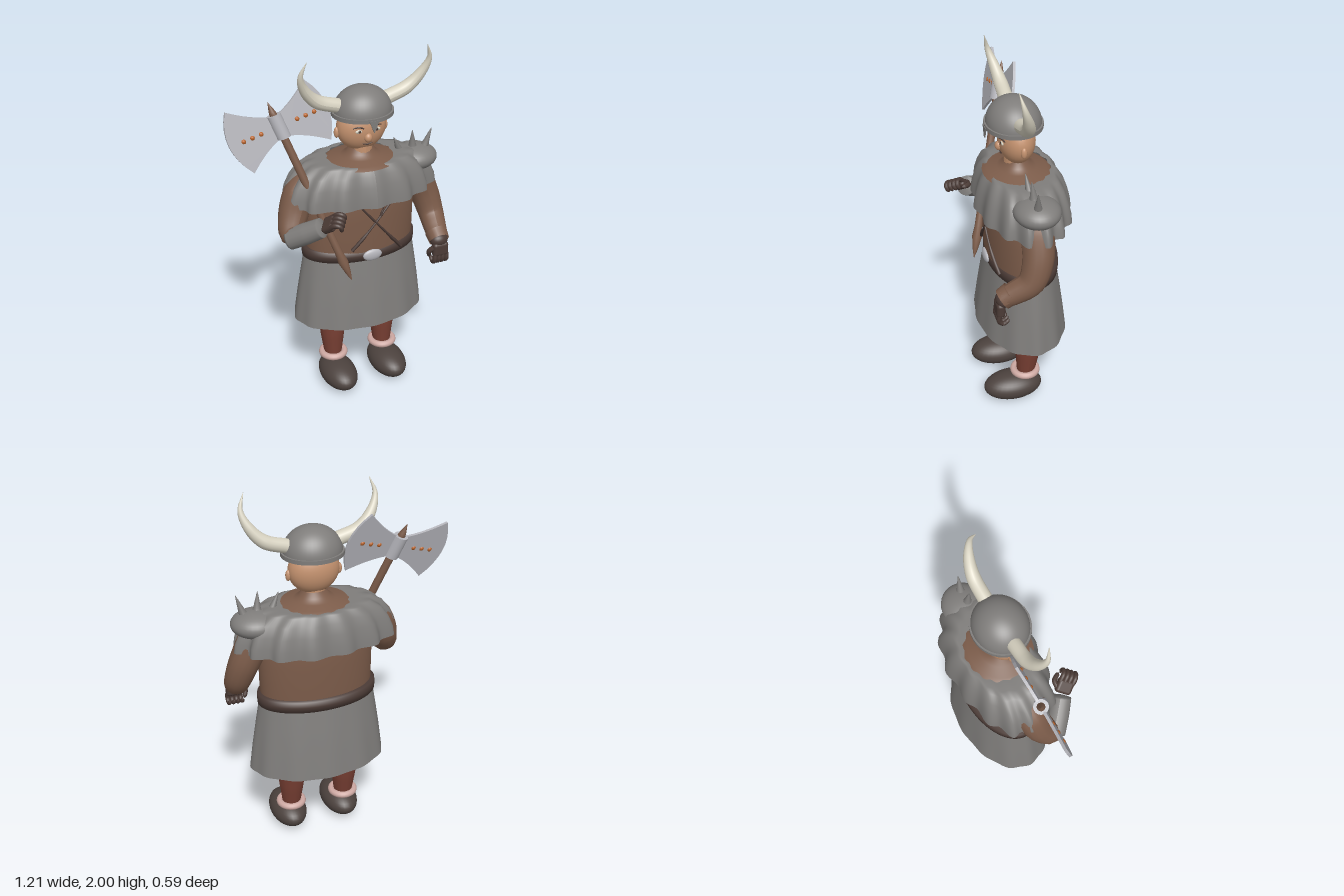
import * as THREE from 'three';
import { RoundedBoxGeometry } from 'three/addons/geometries/RoundedBoxGeometry.js';

const mat = (name, color, side = THREE.FrontSide) => {
  const m = new THREE.MeshStandardMaterial({ color, side });
  m.name = name;
  return m;
};
const V = (x, y, z) => new THREE.Vector3(x, y, z);
const CX = 0.117; // body centre line

export function createModel() {
  const root = new THREE.Group();
  root.name = 'hornedWarrior';
  const cloth = mat('brownCloth', 0x7c5c4a, THREE.DoubleSide);
  const grey = mat('greyCloth', 0x7f7d7b, THREE.DoubleSide);
  const skin = mat('skin', 0xc4926f);
  const dark = mat('darkLeather', 0x4b3b36);
  const shoeMat = mat('shoeLeather', 0x4c423e);
  const bone = mat('bone', 0xd6d1c0);
  const steel = mat('steel', 0xb4b4ba);
  const red = mat('redWool', 0x783f33);
  const pink = mat('pinkFur', 0xcda8a2);
  const copper = mat('copper', 0xb8632a);

  const add = (name, geo, material, parent = root) => {
    const m = new THREE.Mesh(geo, material);
    m.name = name;
    parent.add(m);
    return m;
  };
  const ball = (name, material, x, y, z, rx, ry = rx, rz = rx, parent = root) => {
    const m = add(name, new THREE.SphereGeometry(1, 32, 20), material, parent);
    m.position.set(x, y, z);
    m.scale.set(rx, ry, rz);
    return m;
  };
  // Tube along points [x, y, z, radius]
  const taper = (name, pts, material, parent = root, segs = 24, sides = 16) => {
    const curve = new THREE.CatmullRomCurve3(pts.map(p => V(p[0], p[1], p[2])));
    const geo = new THREE.TubeGeometry(curve, segs, 1, sides);
    const pos = geo.attributes.position, p = V(0, 0, 0);
    for (let i = 0; i <= segs; i++) {
      const c = curve.getPointAt(i / segs);
      const t = curve.getUtoTmapping(i / segs) * (pts.length - 1);
      const k = Math.min(Math.floor(t), pts.length - 2);
      const r = THREE.MathUtils.lerp(pts[k][3], pts[k + 1][3], t - k);
      for (let j = 0; j <= sides; j++) {
        const n = i * (sides + 1) + j;
        p.fromBufferAttribute(pos, n).sub(c).multiplyScalar(r).add(c);
        pos.setXYZ(n, p.x, p.y, p.z);
      }
    }
    geo.computeVertexNormals();
    return add(name, geo, material, parent);
  };
  // Oval shell from [radiusX, radiusZ, y, pleat depth], listed bottom to top
  const shell = (name, rows, material, zc, pleats = 0) => {
    const segs = 168;
    const geo = new THREE.LatheGeometry(rows.map(r => new THREE.Vector2(1, r[2])), segs);
    const pos = geo.attributes.position;
    for (let n = 0; n < pos.count; n++) {
      const [rx, rz, y, d] = rows[n % rows.length];
      const a = Math.floor(n / rows.length) / segs * Math.PI * 2;
      const f = 1 + (d || 0) * (Math.cos(pleats * a) + 0.35 * Math.sin(5 * a));
      pos.setXYZ(n, CX + Math.sin(a) * rx * f, y, zc + Math.cos(a) * rz * f);
    }
    geo.computeVertexNormals();
    return add(name, geo, material);
  };

  // Torso, neck, belt and skirt
  shell('torso', [[0.30, 0.17, 0.86], [0.308, 0.177, 0.93], [0.31, 0.18, 1.1], [0.30, 0.178, 1.22],
    [0.27, 0.16, 1.34], [0.2, 0.13, 1.40], [0.17, 0.13, 1.405]], cloth, -0.037);
  shell('collar', [[0.20, 0.175, 1.395], [0.17, 0.15, 1.41], [0.11, 0.10, 1.42], [0.08, 0.07, 1.44],
    [0.065, 0.055, 1.47]], cloth, -0.025);
  shell('belt', [[0.30, 0.16, 0.855], [0.325, 0.185, 0.857], [0.328, 0.188, 0.888], [0.325, 0.185, 0.918],
    [0.30, 0.16, 0.92]], dark, -0.048);
  ball('buckle', steel, CX, 0.889, 0.142, 0.055, 0.033, 0.016);
  shell('skirt', [[0.378, 0.24, 0.46, 0.012], [0.36, 0.222, 0.60, 0.009], [0.34, 0.203, 0.73, 0.005],
    [0.316, 0.18, 0.87, 0]], grey, -0.045, 12);
  shell('skirtLining', [[0.345, 0.208, 0.49], [0.325, 0.19, 0.66], [0.30, 0.168, 0.87]], cloth, -0.045);

  // Pleated shoulder cape
  shell('cape', [[0.425, 0.236, 1.2, 0.045], [0.418, 0.231, 1.25, 0.042], [0.395, 0.218, 1.31, 0.035],
    [0.355, 0.2, 1.365, 0.03], [0.295, 0.176, 1.403, 0.025], [0.24, 0.165, 1.409, 0.025],
    [0.175, 0.15, 1.407, 0.03]], grey, -0.045, 15);

  // Crossed straps hugging the chest
  const strap = (x0, y0, x1, y1, r) => {
    const pts = [];
    for (let i = 0; i <= 8; i++) {
      const x = x0 + (x1 - x0) * i / 8;
      const z = -0.037 + 0.184 * Math.sqrt(1 - ((x - CX) / 0.312) ** 2);
      pts.push([x, y0 + (y1 - y0) * i / 8, z, i < 6 ? r : r * 1.6]);
    }
    taper('chestStrap', pts, dark, root, 24, 8);
  };
  strap(0.03, 1.21, 0.3, 0.885, 0.006);
  strap(0.24, 1.21, 0.0, 0.935, 0.006);
  strap(0.19, 1.21, 0.16, 1.12, 0.004);

  // Head and face
  taper('neck', [[CX, 1.40, -0.02, 0.062], [CX, 1.5, -0.02, 0.06]], skin);
  ball('head', skin, CX, 1.58, -0.022, 0.136, 0.128, 0.094);
  ball('nose', skin, CX, 1.547, 0.068, 0.021, 0.025, 0.02);
  for (const s of [-1, 1]) {
    ball('ear', skin, CX + s * 0.137, 1.563, -0.025, 0.014, 0.03, 0.016);
    ball('eye', bone, CX + s * 0.05, 1.587, 0.064, 0.02, 0.01, 0.006);
    ball('pupil', dark, CX + s * 0.048, 1.587, 0.068, 0.008, 0.008, 0.004);
    taper('eyebrow', [[CX + s * 0.025, 1.602, 0.071, 0.003], [CX + s * 0.05, 1.611, 0.066, 0.005],
      [CX + s * 0.08, 1.604, 0.054, 0.002]], dark, root, 8, 8);
  }
  taper('mouth', [[CX - 0.028, 1.514, 0.058, 0.002], [CX, 1.507, 0.059, 0.004],
    [CX + 0.028, 1.514, 0.058, 0.002]], dark, root, 8, 8);

  // Helmet with brim, nose guard and horns
  const dome = add('helmet', new THREE.SphereGeometry(1, 40, 16, 0, Math.PI * 2, 0, Math.PI / 2), grey);
  dome.position.set(CX, 1.67, -0.008);
  dome.scale.set(0.156, 0.137, 0.14);
  const brim = add('helmetBrim', new THREE.CylinderGeometry(0.165, 0.165, 0.022, 40), grey);
  brim.position.set(CX, 1.667, -0.008);
  brim.scale.z = 0.9;
  const tri = new THREE.Shape([[-0.027, 0], [0, -0.065], [0.027, 0]].map(p => new THREE.Vector2(...p)));
  add('noseGuard', new THREE.ExtrudeGeometry(tri, { depth: 0.008, bevelEnabled: false }), grey)
    .position.set(CX, 1.668, 0.135);
  for (const s of [-1, 1]) {
    taper('horn', [[0.13, 1.715, -0.01, 0.038], [0.25, 1.757, -0.01, 0.036], [0.32, 1.83, 0.008, 0.027],
      [0.352, 1.915, 0.035, 0.014], [0.327, 1.998, 0.057, 0.001]]
      .map(p => [CX + s * p[0], p[1], p[2], p[3]]), bone, root, 32, 18);
  }

  // Legs, ankle cuffs and shoes
  for (const s of [-1, 1]) {
    const x = CX + s * 0.155;
    taper('leg', [[x, 0.64, -0.06, 0.088], [x, 0.45, -0.06, 0.08], [x, 0.3, -0.052, 0.068],
      [x, 0.14, -0.042, 0.046]], red);
    const cuff = add('ankleCuff', new THREE.TorusGeometry(0.064, 0.019, 12, 32), pink);
    cuff.rotation.x = Math.PI / 2;
    cuff.position.set(x, 0.174, -0.04);
    ball('shoe', shoeMat, x, 0.078, 0.03, 0.1, 0.077, 0.165);
  }

  // Gloved hand: palm with curled fingers, reaching along dir
  const hand = (name, at, dir, thumbSide) => {
    const g = new THREE.Group();
    g.name = name;
    g.position.copy(at);
    g.quaternion.setFromUnitVectors(V(0, -1, 0), dir.normalize());
    add('palm', new RoundedBoxGeometry(0.092, 0.08, 0.045, 3, 0.018), dark, g).position.y = -0.035;
    for (let i = 0; i < 4; i++) {
      const x = -0.036 + i * 0.024;
      taper('finger', [[x, -0.06, 0.008, 0.013], [x, -0.095, 0.01, 0.013], [x, -0.115, -0.012, 0.012],
        [x, -0.098, -0.036, 0.011], [x, -0.085, -0.038, 0.001]], dark, g, 14, 10);
    }
    taper('thumb', [[thumbSide * 0.035, -0.02, 0, 0.016], [thumbSide * 0.058, -0.045, -0.015, 0.014],
      [thumbSide * 0.05, -0.078, -0.03, 0.012], [thumbSide * 0.045, -0.088, -0.034, 0.001]], dark, g, 14, 10);
    root.add(g);
  };

  // Left arm hanging, slightly bent
  taper('leftArm', [[0.38, 1.33, -0.045, 0.07], [0.45, 1.23, -0.04, 0.088], [0.51, 1.1, -0.03, 0.08],
    [0.535, 0.99, 0.01, 0.07], [0.525, 0.935, 0.085, 0.062], [0.515, 0.905, 0.145, 0.055]], cloth);
  taper('leftCuff', [[0.517, 0.925, 0.11, 0.062], [0.515, 0.895, 0.155, 0.056]], cloth);
  ball('leftWrist', dark, 0.515, 0.895, 0.15, 0.052, 0.04, 0.04);
  hand('leftHand', V(0.515, 0.882, 0.168), V(0, -1, 0.03), -1);

  // Right arm bent forward with a bracer
  taper('rightArm', [[-0.14, 1.34, -0.045, 0.07], [-0.225, 1.25, -0.035, 0.088], [-0.275, 1.14, -0.01, 0.08],
    [-0.305, 1.06, 0.045, 0.062], [-0.25, 1.09, 0.11, 0.05]], cloth);
  taper('rightBracer', [[-0.325, 1.04, 0.05, 0.001], [-0.323, 1.041, 0.052, 0.058],
    [-0.25, 1.095, 0.12, 0.058], [-0.185, 1.145, 0.178, 0.052], [-0.183, 1.146, 0.18, 0.001]], grey);
  hand('rightHand', V(-0.175, 1.155, 0.185), V(0.45, 0.55, 0.7), 1);

  // Spiked left shoulder guard
  ball('shoulderGuard', grey, 0.435, 1.338, -0.042, 0.133, 0.07, 0.12);
  for (const [bx, by, tx, ty] of [[0.355, 1.37, 0.305, 1.48], [0.425, 1.385, 0.415, 1.5], [0.49, 1.37, 0.53, 1.495]]) {
    taper('shoulderSpike', [[bx, by, -0.03, 0.032], [tx, ty, -0.018, 0.001]], grey, root, 8, 16);
  }

  // Double-bladed axe, built upright and then leaned into place
  const axe = new THREE.Group();
  axe.name = 'axe';
  root.add(axe);
  const right = V(0.971, 0.24, -0.02), up = V(-0.335, 0.942, -0.24);
  const lean = new THREE.Matrix4().makeBasis(right, up, right.clone().cross(up).normalize())
    .setPosition(-0.325, 1.643, -0.045);
  const axePart = (name, geo, material) => add(name, geo.applyMatrix4(lean), material, axe);
  axePart('axeHandle', new THREE.LatheGeometry([[0, -0.92], [0.014, -0.87], [0.027, -0.8], [0.021, -0.74],
    [0.021, 0.06], [0.017, 0.08], [0, 0.135]].map(p => new THREE.Vector2(...p)), 16), cloth);
  axePart('axeSocket', new THREE.CylinderGeometry(0.037, 0.037, 0.125, 20), steel);
  const blade = new THREE.Shape();
  blade.moveTo(0.02, -0.06);
  blade.quadraticCurveTo(0.11, -0.085, 0.217, -0.168);
  blade.quadraticCurveTo(0.33, 0, 0.217, 0.168);
  blade.quadraticCurveTo(0.11, 0.085, 0.02, 0.06);
  for (const turn of [0, Math.PI]) {
    const geo = new THREE.ExtrudeGeometry(blade, { depth: 0.014, bevelEnabled: false, curveSegments: 8 });
    axePart('axeBlade', geo.translate(0, 0, -0.007).rotateY(turn), steel);
    for (const x of [0.1, 0.148, 0.196]) {
      axePart('axeRivet', new THREE.SphereGeometry(0.014, 12, 8).translate(x, 0, 0).rotateY(turn), copper);
    }
  }
  return root;
}
